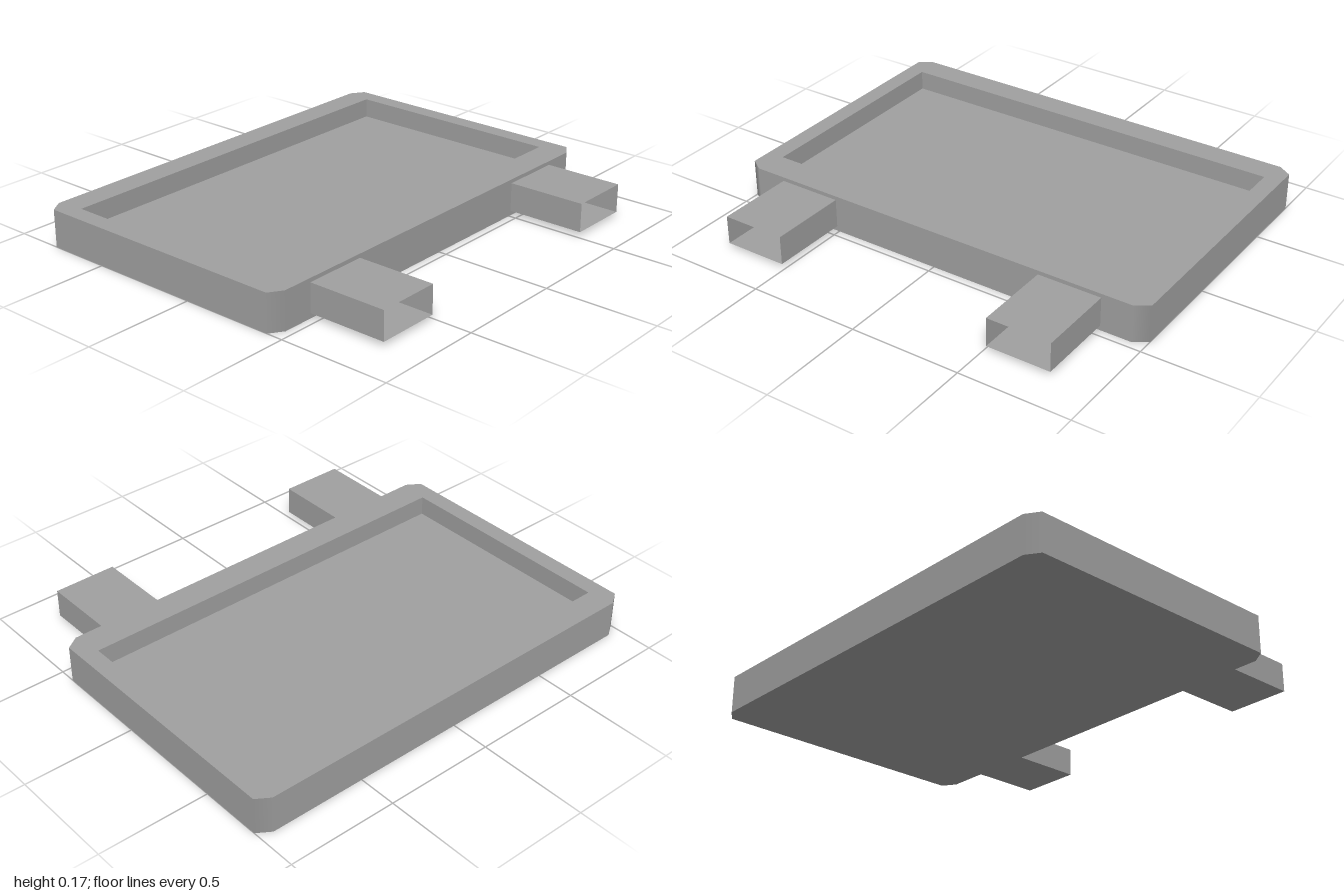
import * as THREE from 'three';

const HEIGHT = 0.17, FLOOR = 0.08;
const BACK = -0.825, FRONT = 0.465; // tray extent in z
const CX = 0.06, CZ = 0.04; // corner cut

// Rim with cut corners and a rectangular recess
function rimGeometry() {
  const lo = -FRONT, hi = -BACK;
  const shape = new THREE.Shape([
    [-1 + CX, lo], [1 - CX, lo], [1, lo + CZ], [1, hi - CZ],
    [1 - CX, hi], [-1 + CX, hi], [-1, hi - CZ], [-1, lo + CZ],
  ].map(([x, y]) => new THREE.Vector2(x, y)));
  shape.holes.push(new THREE.Path([
    [-0.92, -0.33], [-0.92, 0.705], [0.92, 0.705], [0.92, -0.33],
  ].map(([x, y]) => new THREE.Vector2(x, y))));
  const geo = new THREE.ExtrudeGeometry(shape, { depth: HEIGHT, bevelEnabled: false });
  geo.rotateX(-Math.PI / 2);

  // Corner faces blend smoothly into the neighbouring flat walls
  const pos = geo.attributes.position, nor = geo.attributes.normal;
  for (let i = 0; i < pos.count; i++) {
    const x = pos.getX(i), z = pos.getZ(i);
    if (Math.abs(x) < 0.93 || Math.abs(nor.getY(i)) > 0.5) continue;
    if (Math.abs(x) > 0.99) nor.setXYZ(i, Math.sign(x), 0, 0);
    else nor.setXYZ(i, 0, 0, Math.sign(z - (BACK + FRONT) / 2));
  }
  return geo;
}

// Thin-walled rectangular sleeve, open at both ends (box without its z faces)
function sleeveGeometry(w, h, d) {
  const geo = new THREE.BoxGeometry(w, h, d);
  geo.setIndex(Array.from(geo.index.array).slice(0, 24));
  geo.clearGroups();
  return geo;
}

export function createModel() {
  const grey = new THREE.MeshStandardMaterial({ color: 0xa0a0a0, side: THREE.DoubleSide });
  grey.name = 'grey';
  const model = new THREE.Group();
  model.name = 'tray';

  const add = (name, geo, x = 0, y = 0, z = 0) => {
    const mesh = new THREE.Mesh(geo, grey);
    mesh.name = name;
    mesh.position.set(x, y, z);
    model.add(mesh);
  };

  add('rim', rimGeometry());

  // Recessed floor filling the rim
  add('floor', new THREE.BoxGeometry(1.84, FLOOR, 1.035), 0, FLOOR / 2, -0.1875);

  // Two hollow sleeves on the front edge
  for (const [side, name] of [[1, 'leftSleeve'], [-1, 'rightSleeve']]) {
    add(name, sleeveGeometry(0.29, 0.13, 0.36), side * 0.655, 0.087, FRONT + 0.18);
  }
  return model;
}
